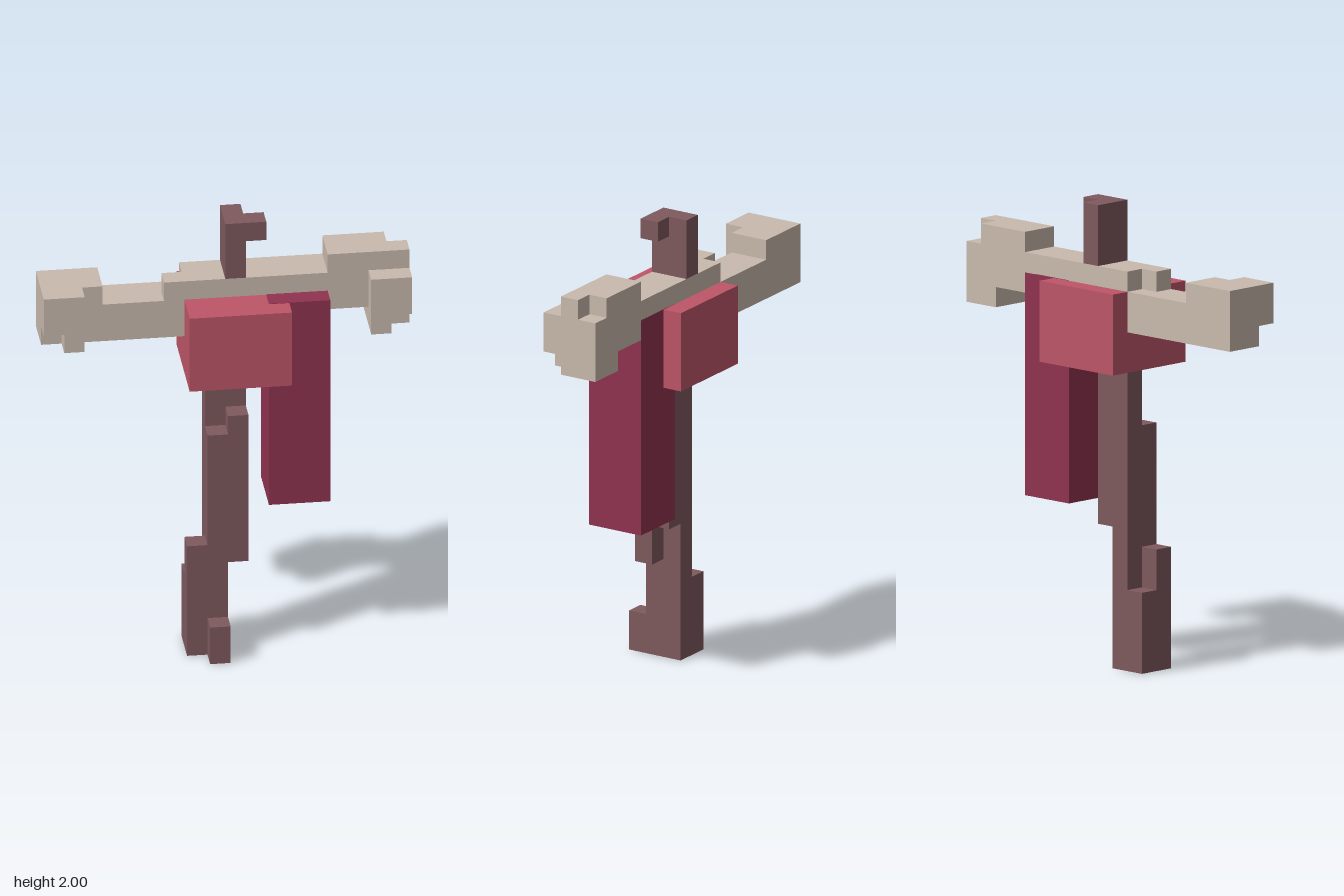
import * as THREE from 'three';

const U = 2 / 23; // edge of one block

const mat = (name, color) => {
  const m = new THREE.MeshStandardMaterial({ color });
  m.name = name;
  return m;
};

// Adds a named group of blocks; each block is [x0, x1, y0, y1, z0, z1] in block units.
function addPart(parent, name, material, blocks) {
  const part = new THREE.Group();
  part.name = name;
  blocks.forEach(([x0, x1, y0, y1, z0, z1], i) => {
    const geo = new THREE.BoxGeometry((x1 - x0) * U, (y1 - y0) * U, (z1 - z0) * U);
    const mesh = new THREE.Mesh(geo, material);
    mesh.name = `${name}Block${i + 1}`;
    mesh.position.set(((x0 + x1) / 2) * U, ((y0 + y1) / 2) * U, ((z0 + z1) / 2) * U);
    part.add(mesh);
  });
  parent.add(part);
}

export function createModel() {
  const model = new THREE.Group();
  model.name = 'clothDrapedCross';

  const paleWood = mat('paleWood', 0xc9baad);
  const darkWood = mat('darkWood', 0x7e5a5e);
  const roseCloth = mat('roseCloth', 0xbd5568);
  const wineCloth = mat('wineCloth', 0x903350);

  // Top of the post with its hooked tip
  addPart(model, 'postTip', darkWood, [
    [0, 1, 20, 23, -1.5, 0.5],
    [1, 2, 22, 23, -0.5, 0.5],
  ]);

  // Post below the cloth, bending towards the right foot
  addPart(model, 'post', darkWood, [
    [-1, 0, 0, 15, -0.5, 0.5],
    [-1, 0, 0, 12, 0.5, 1.5],
    [0, 1, 7, 15, -0.5, 0.5],
    [0, 1, 5, 13, 0.5, 1.5],
  ]);
  addPart(model, 'postFoot', darkWood, [
    [-2, -1, 0, 4, -0.5, 0.5],
    [-2, -1, 0, 6, 0.5, 1.5],
    [-1, 0, 0, 2, 1.5, 2.5],
  ]);

  // Crossbeam centre, resting on the cloth
  addPart(model, 'crossbeam', paleWood, [
    [-2, 5, 19, 20, -1.5, 0.5],
    [-3, -2, 19, 20, -0.5, 0.5],
  ]);

  // Right arm with its knobbly end
  addPart(model, 'rightArm', paleWood, [
    [-6, -2, 17, 19, -1.5, 0.5],
    [-9, -6, 17, 20, -1.5, 0.5],
    [-9, -7, 18, 20, 0.5, 1.5],
    [-8, -7, 17, 18, 0.5, 1.5],
  ]);

  // Left arm, one block higher, with its knobbly end
  addPart(model, 'leftArm', paleWood, [
    [5, 9, 18, 20, -1.5, 0.5],
    [5, 8, 20, 21, -1.5, 0.5],
    [8, 9, 20, 21, -0.5, 0.5],
    [7, 9, 17, 18, -1.5, 0.5],
    [7, 9, 18, 20, 0.5, 1.5],
    [7, 8, 17, 18, 0.5, 1.5],
  ]);

  // Cloth wrap and the long hanging tail, its top a hair above the wrap
  addPart(model, 'clothWrap', roseCloth, [[-2, 3, 15, 19, -2.5, 2.5]]);
  addPart(model, 'clothTail', wineCloth, [[2, 5, 8, 19.02, -1.5, 1.5]]);

  return model;
}
